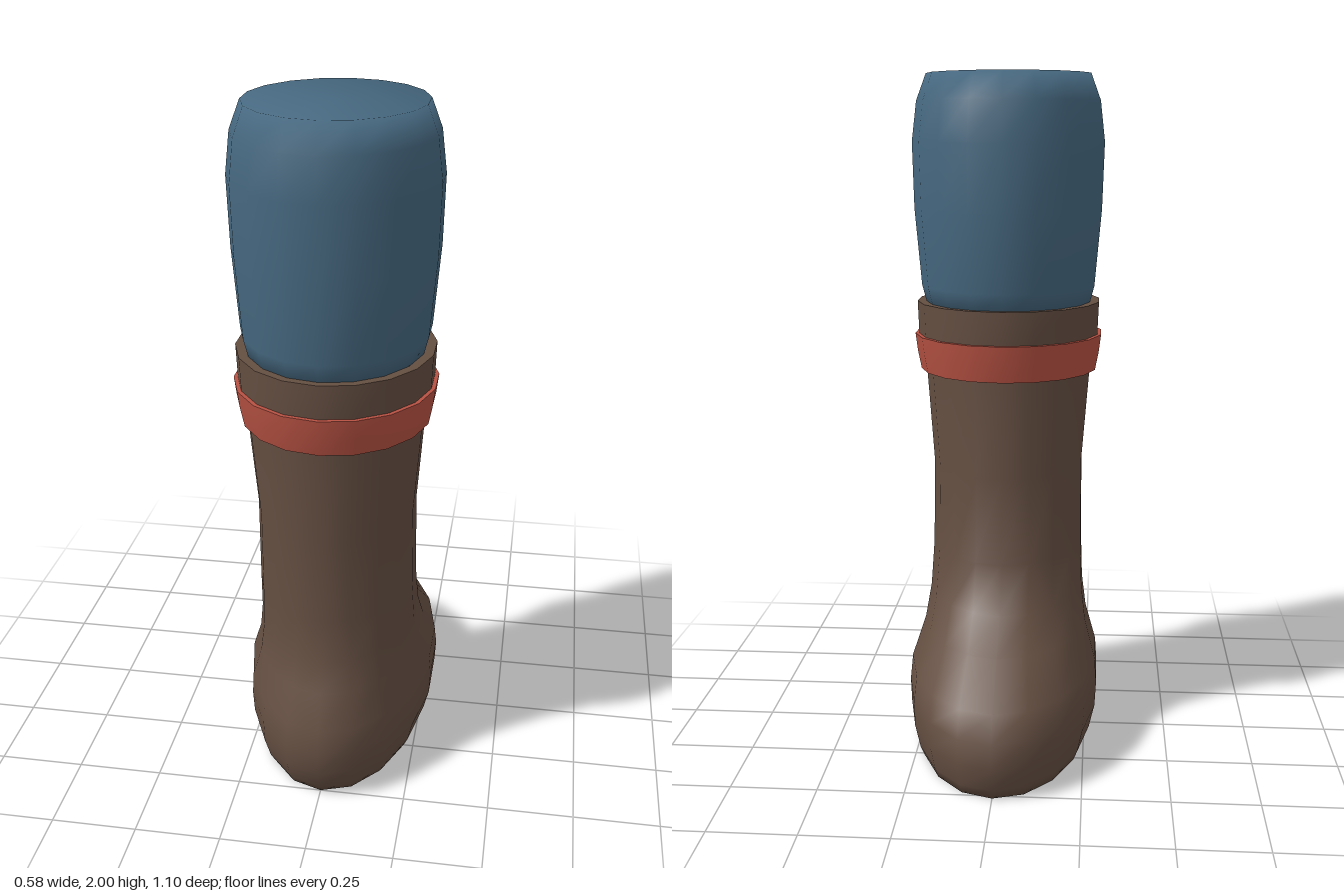
import * as THREE from 'three';
import { toCreasedNormals } from 'three/addons/utils/BufferGeometryUtils.js';

const SIDES = 18;

// Closed loft through elliptical rings: [y, half width, heel z, toe z]
function loft(rings, creased) {
  const pos = [], idx = [];
  for (const [y, w, heel, toe] of rings) {
    const mid = (heel + toe) / 2, depth = (heel - toe) / 2;
    for (let i = 0; i < SIDES; i++) {
      const a = (i / SIDES) * Math.PI * 2;
      pos.push(w * Math.sin(a), y, mid + depth * Math.cos(a));
    }
  }
  for (let r = 0; r < rings.length - 1; r++) {
    for (let i = 0; i < SIDES; i++) {
      const j = (i + 1) % SIDES;
      const a = r * SIDES + i, b = r * SIDES + j;
      idx.push(a, b, b + SIDES, a, b + SIDES, a + SIDES);
    }
  }
  // end caps
  const bottom = pos.length / 3, top = bottom + 1, last = (rings.length - 1) * SIDES;
  for (const [y, , heel, toe] of [rings[0], rings[rings.length - 1]]) pos.push(0, y, (heel + toe) / 2);
  for (let i = 0; i < SIDES; i++) {
    const j = (i + 1) % SIDES;
    idx.push(bottom, j, i, top, last + i, last + j);
  }
  const g = new THREE.BufferGeometry();
  g.setAttribute('position', new THREE.Float32BufferAttribute(pos, 3));
  g.setIndex(idx);
  g.computeVertexNormals();
  return creased ? toCreasedNormals(g, 0.8) : g;
}

export function createModel() {
  const material = (name, color) => {
    const m = new THREE.MeshStandardMaterial({ color });
    m.name = name;
    return m;
  };
  const leather = material('brown leather', 0x654f42);
  const cloth = material('blue cloth', 0x466880);
  const trim = material('red trim', 0xb85243);

  const model = new THREE.Group();
  model.name = 'bootedLeg';
  const add = (name, mat, rings, creased = false) => {
    const mesh = new THREE.Mesh(loft(rings, creased), mat);
    mesh.name = name;
    model.add(mesh);
  };

  // Foot and shaft, toe towards -z
  add('boot', leather, [
    [0, 0.257, 0.50, -0.515],
    [0.03, 0.27, 0.52, -0.53],
    [0.10, 0.287, 0.55, -0.548],
    [0.17, 0.291, 0.55, -0.535],
    [0.24, 0.286, 0.537, -0.49],
    [0.34, 0.253, 0.492, -0.335],
    [0.43, 0.240, 0.457, -0.225],
    [0.56, 0.235, 0.442, -0.14],
    [0.82, 0.233, 0.443, -0.112],
    [1.11, 0.256, 0.467, -0.107],
    [1.22, 0.262, 0.473, -0.11],
  ]);

  // Flared trim band
  add('trimBand', trim, [
    [1.11, 0.273, 0.477, -0.122],
    [1.165, 0.284, 0.49, -0.132],
    [1.22, 0.291, 0.499, -0.141],
  ], true);

  // Collar above the band
  add('collar', leather, [
    [1.22, 0.279, 0.486, -0.128],
    [1.32, 0.283, 0.493, -0.133],
  ], true);

  // Trouser leg rising out of the collar
  add('trouserLeg', cloth, [
    [1.30, 0.25, 0.465, -0.11],
    [1.37, 0.268, 0.483, -0.13],
    [1.60, 0.288, 0.49, -0.145],
    [1.80, 0.294, 0.495, -0.142],
    [1.92, 0.28, 0.485, -0.127],
    [2.0, 0.25, 0.453, -0.097],
  ]);

  return model;
}
